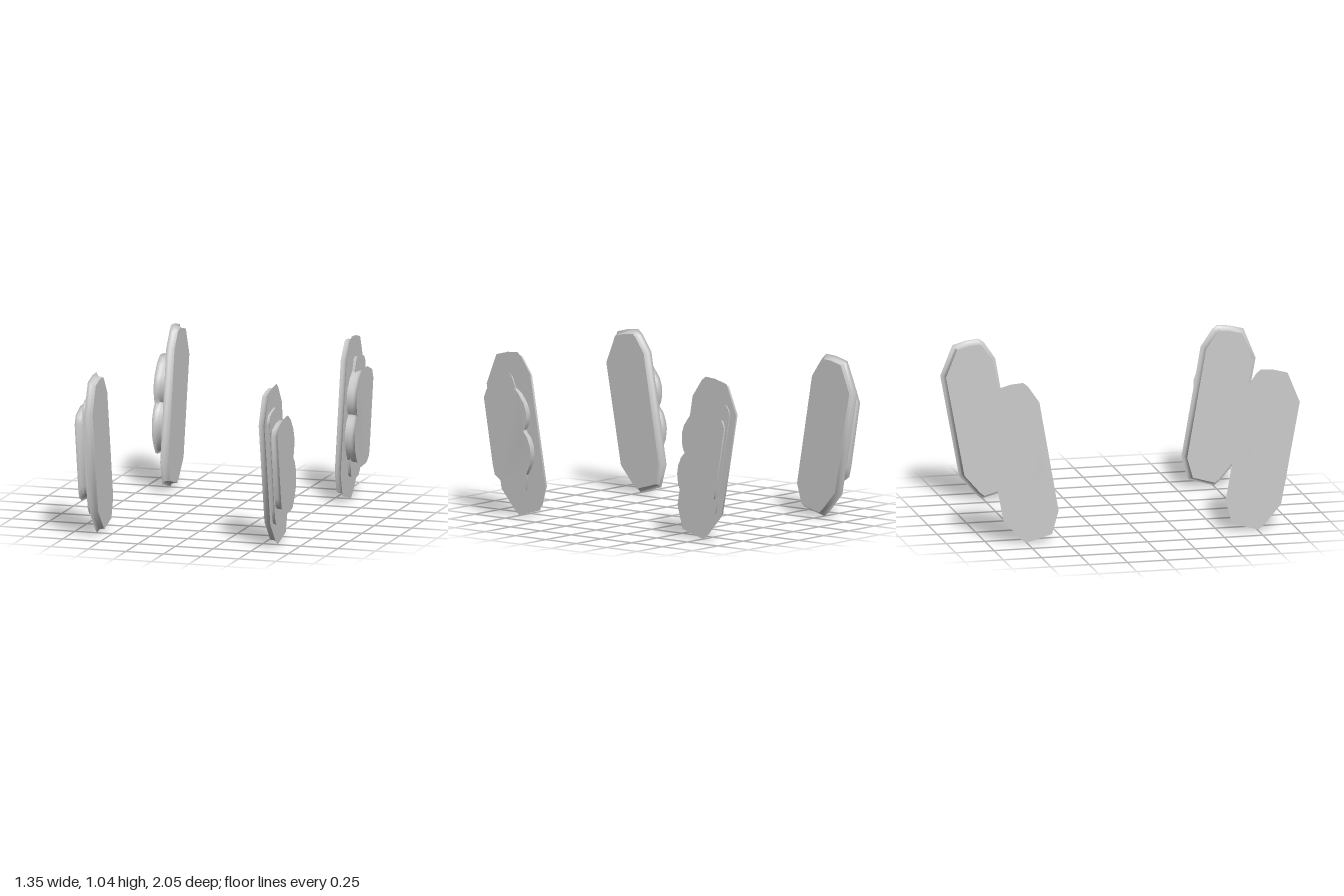
import * as THREE from 'three';
import { toCreasedNormals } from 'three/addons/utils/BufferGeometryUtils.js';

// Outlines as [z, y] for the front pair; the others are mirrored
const PLATE = [
  [1, 0.786], [0.928, 0.963], [0.848, 0.984], [0.783, 0.989], [0.762, 0.972], [0.693, 0.872],
  [0.57, 0.171], [0.607, 0.041], [0.676, 0.021], [0.751, 0], [0.778, 0.022], [0.88, 0.139],
];
const PAD = [
  [0.976, 0.786], [0.969, 0.822], [0.948, 0.848], [0.89, 0.866], [0.836, 0.875], [0.815, 0.86],
  [0.783, 0.786], [0.735, 0.68], [0.687, 0.225], [0.696, 0.145], [0.72, 0.121], [0.783, 0.112],
  [0.837, 0.121], [0.864, 0.155], [0.88, 0.225],
];
const ARMOUR = [
  [0.957, 0.71], [0.94, 0.75], [0.864, 0.78], [0.783, 0.787], [0.735, 0.755], [0.687, 0.69],
  [0.672, 0.645], [0.671, 0.6], [0.68, 0.558], [0.697, 0.527], [0.692, 0.51], [0.66, 0.476],
  [0.64, 0.43], [0.633, 0.385], [0.64, 0.325], [0.66, 0.28], [0.693, 0.228], [0.735, 0.214],
  [0.837, 0.222], [0.872, 0.245], [0.885, 0.294],
];

// Moves an outline inwards by d along its mitred corners
function inset(points, d) {
  const n = points.length;
  return points.map((p, i) => {
    const a = points[(i + n - 1) % n], b = points[(i + 1) % n];
    const u = new THREE.Vector2(p[0] - a[0], p[1] - a[1]).normalize();
    const v = new THREE.Vector2(b[0] - p[0], b[1] - p[1]).normalize();
    // outlines run so that the inside lies towards (y, -z) of each edge
    const m = new THREE.Vector2(u.y + v.y, -u.x - v.x);
    const k = d / (1 + u.dot(v));
    return [p[0] + m.x * k, p[1] + m.y * k];
  });
}

// Slab from x0 to x1 with a rounded outer rim and a flat inner face
function slab(name, outline, x0, x1, rimWidth, rimDepth, sx, sz, material) {
  const n = outline.length, steps = 5;
  const rings = [[outline, x0]];
  for (let i = 0; i <= steps; i++) {
    const t = (i / steps) * Math.PI / 2;
    rings.push([inset(outline, rimWidth * (1 - Math.cos(t))), x1 - rimDepth * (1 - Math.sin(t))]);
  }
  const positions = [], index = [];
  const flip = sx * sz < 0;
  const face = (a, b, c) => (flip ? index.push(a, c, b) : index.push(a, b, c));
  for (const [ring, x] of rings) for (const [z, y] of ring) positions.push(sx * x, y, sz * z);

  // sides and rim
  for (let r = 0; r < rings.length - 1; r++) {
    for (let i = 0; i < n; i++) {
      const j = (i + 1) % n, a = r * n + i, b = r * n + j;
      face(a, b + n, b);
      face(a, a + n, b + n);
    }
  }
  // inner and outer caps, oriented by the signed area of each triangle
  const cap = (r, outward) => {
    const pts = rings[r][0].map(([z, y]) => new THREE.Vector2(z, y));
    for (const [a, b, c] of THREE.ShapeUtils.triangulateShape(pts, [])) {
      const area = THREE.ShapeUtils.area([pts[a], pts[b], pts[c]]);
      const o = r * n;
      if ((area < 0) === outward) face(o + a, o + b, o + c);
      else face(o + a, o + c, o + b);
    }
  };
  cap(0, false);
  cap(rings.length - 1, true);

  const geometry = new THREE.BufferGeometry();
  geometry.setAttribute('position', new THREE.Float32BufferAttribute(positions, 3));
  geometry.setIndex(index);
  const mesh = new THREE.Mesh(toCreasedNormals(geometry, 0.75), material);
  mesh.name = name;
  return mesh;
}

export function createModel() {
  const model = new THREE.Group();
  model.name = 'sidePanels';
  const material = new THREE.MeshStandardMaterial({ color: 0xcccccc });

  for (const sx of [1, -1]) {
    for (const sz of [1, -1]) {
      const panel = new THREE.Group();
      panel.name = (sz > 0 ? 'front' : 'back') + (sx > 0 ? 'Left' : 'Right') + 'Panel';
      panel.add(
        slab('backingPlate', PLATE, 0.553, 0.6, 0.026, 0.036, sx, sz, material),
        slab('middlePad', PAD, 0.59, 0.624, 0.012, 0.014, sx, sz, material),
        slab('outerPad', ARMOUR, 0.59, 0.675, 0.03, 0.036, sx, sz, material),
      );
      model.add(panel);
    }
  }
  return model;
}
